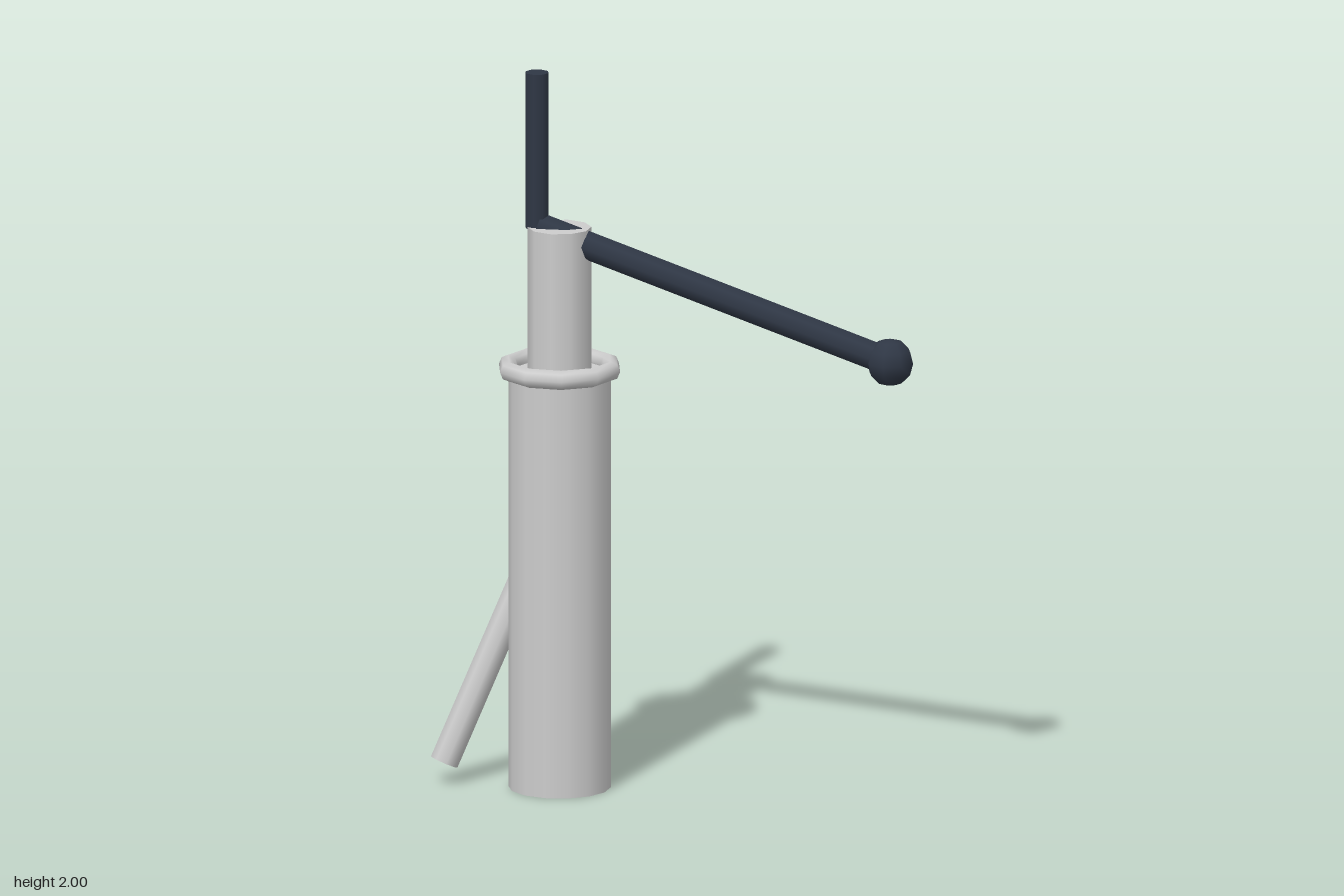
import * as THREE from 'three';

export function createModel() {
  const model = new THREE.Group();
  const steel = new THREE.MeshStandardMaterial({ color: 0xcccccc });
  steel.name = 'pale grey metal';
  const iron = new THREE.MeshStandardMaterial({ color: 0x2f3745 });
  iron.name = 'dark blue grey iron';

  const add = (name, geometry, material, x, y, z) => {
    const mesh = new THREE.Mesh(geometry, material);
    mesh.name = name;
    mesh.position.set(x, y, z);
    model.add(mesh);
    return mesh;
  };

  // Closed cylinder running from point a to point b
  const rod = (name, a, b, radius, sides, material) => {
    const from = new THREE.Vector3(...a);
    const along = new THREE.Vector3(...b).sub(from);
    const length = along.length();
    const geometry = new THREE.CylinderGeometry(radius, radius, length, sides);
    const mid = from.clone().addScaledVector(along, 0.5);
    const mesh = add(name, geometry, material, mid.x, mid.y, mid.z);
    mesh.quaternion.setFromUnitVectors(new THREE.Vector3(0, 1, 0), along.normalize());
    return mesh;
  };

  const cx = -0.328; // axis of the pump column

  // Column, collar and neck
  rod('body', [cx, 0, 0], [cx, 1.17, 0], 0.14, 14, steel);
  add('collar', new THREE.TorusGeometry(0.145, 0.027, 8, 10), steel, cx, 1.175, 0).rotation.x = Math.PI / 2;
  rod('neck', [cx, 1.15, 0], [cx, 1.57, 0], 0.087, 10, steel);

  // Spout slanting down and out from the column
  rod('spout', [-0.447, 0.572, -0.078], [-0.64, 0.06, 0.053], 0.04, 8, steel);

  // Upright rod, and the handle passing through the neck
  rod('plungerRod', [-0.392, 1.565, 0], [-0.392, 2, 0], 0.033, 8, iron);
  rod('handle', [-0.385, 1.567, 0], [0.61, 1.255, 0], 0.04, 8, iron);
  add('handleKnob', new THREE.SphereGeometry(0.066, 8, 6), iron, 0.61, 1.255, 0);

  return model;
}
